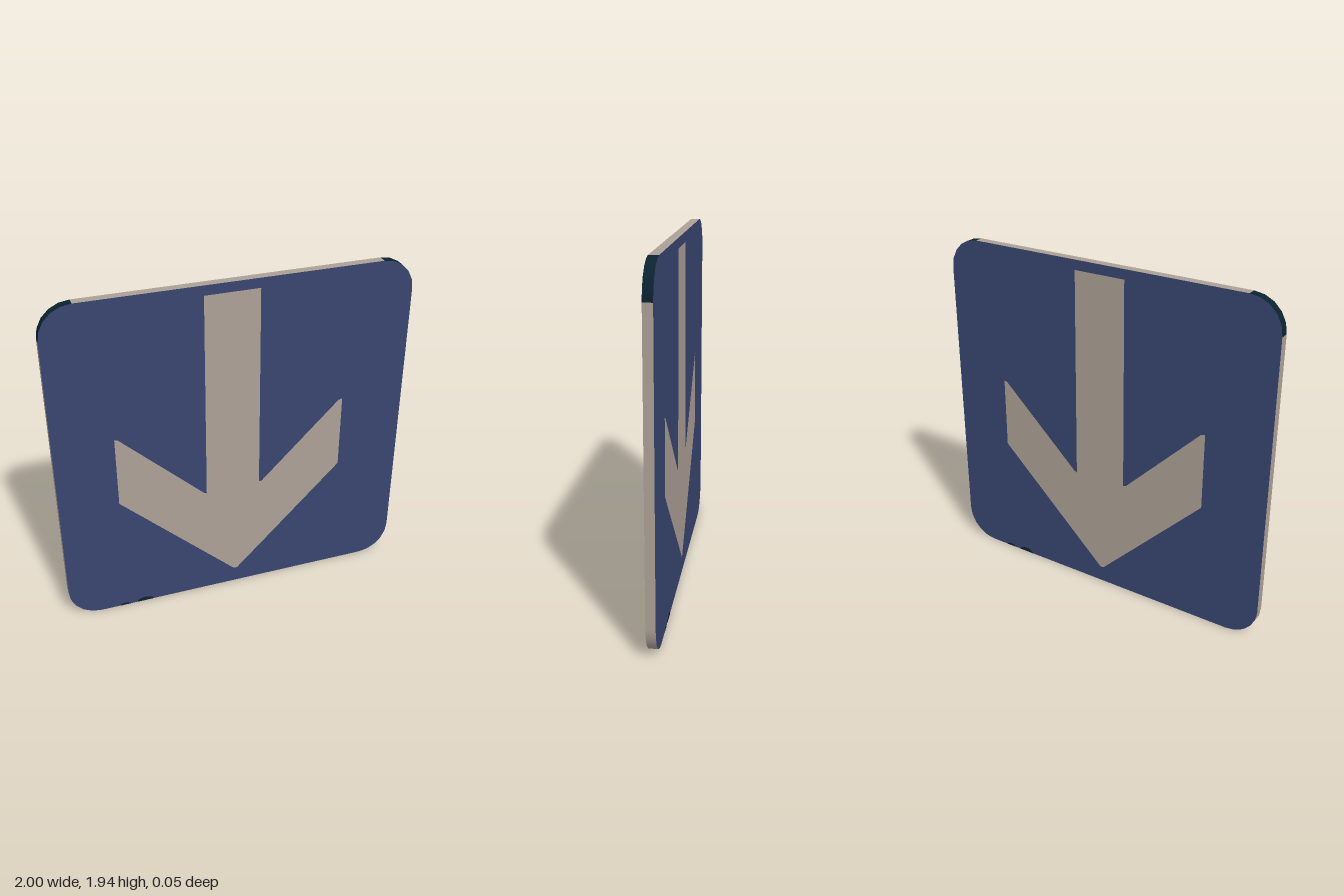
import * as THREE from 'three';

const W = 1, H = 1.94, R = 0.18, D = 0.025, SEG = 5;

const material = (name, color) => new THREE.MeshStandardMaterial({ name, color });

// Rounded square outline, counter-clockwise from the lower right corner
function outline() {
  const centres = [[W - R, R], [W - R, H - R], [R - W, H - R], [R - W, R]];
  const points = [];
  centres.forEach(([cx, cy], c) => {
    for (let i = 0; i <= SEG; i++) {
      const a = (c - 1 + i / SEG) * Math.PI / 2;
      points.push(new THREE.Vector2(cx + R * Math.cos(a), cy + R * Math.sin(a)));
    }
  });
  return points;
}

export function createModel() {
  const blue = material('sign blue', 0x38456f);
  const beige = material('warm grey', 0xaca096);
  const dark = material('dark navy', 0x0b2230);

  const sign = new THREE.Group();
  sign.name = 'arrowSign';
  const add = (parent, name, geometry, mat) => {
    const mesh = new THREE.Mesh(geometry, mat);
    mesh.name = name;
    parent.add(mesh);
    return mesh;
  };

  // Face panel with the arrow set flush into it
  const arrow = [
    [-0.165, 1.885], [-0.17, 0.685], [-0.185, 0.69], [-0.65, 1.135], [-0.67, 1.14],
    [-0.67, 0.73], [-0.01, 0.095], [0.012, 0.095], [0.632, 0.715], [0.632, 1.15],
    [0.61, 1.145], [0.16, 0.698], [0.143, 0.695], [0.137, 1.885],
  ].map(([x, y]) => new THREE.Vector2(x, y));
  const panel = new THREE.Shape(outline());
  panel.holes.push(new THREE.Path(arrow));
  const panelGeo = new THREE.ShapeGeometry(panel);
  const arrowGeo = new THREE.ShapeGeometry(new THREE.Shape(arrow));

  for (const side of ['front', 'back']) {
    const face = new THREE.Group();
    face.name = side + 'Face';
    add(face, side + 'Panel', panelGeo, blue).position.z = D;
    add(face, side + 'Arrow', arrowGeo, beige).position.z = D;
    // Small dark chips on the lower edge
    for (const [x, r, h] of [[-0.68, 0.03, 0.015], [-0.56, 0.05, 0.025]]) {
      const chip = add(face, side + 'Chip', new THREE.CircleGeometry(r, 10, 0, Math.PI), dark);
      chip.scale.y = h / r;
      chip.position.set(x, 0, D + 0.001);
    }
    if (side === 'back') face.rotation.y = Math.PI;
    sign.add(face);
  }

  // Straight rim strips
  const across = 2 * (W - R), up = H - 2 * R;
  const top = add(sign, 'topEdge', new THREE.PlaneGeometry(across, 2 * D), beige);
  top.position.y = H;
  top.rotation.x = -Math.PI / 2;
  const bottom = add(sign, 'bottomEdge', new THREE.PlaneGeometry(across, 2 * D), beige);
  bottom.rotation.x = Math.PI / 2;
  for (const s of [1, -1]) {
    const edge = add(sign, s > 0 ? 'leftEdge' : 'rightEdge', new THREE.PlaneGeometry(2 * D, up), beige);
    edge.position.set(s * W, H / 2, 0);
    edge.rotation.y = s * Math.PI / 2;
  }

  // Rounded rim corners, dark at the top
  const corners = [
    ['lowerLeftCorner', W - R, R, beige], ['upperLeftCorner', W - R, H - R, dark],
    ['upperRightCorner', R - W, H - R, dark], ['lowerRightCorner', R - W, R, beige],
  ];
  corners.forEach(([name, x, y, mat], i) => {
    const geo = new THREE.CylinderGeometry(R, R, 2 * D, SEG, 1, true, i * Math.PI / 2, Math.PI / 2);
    geo.rotateX(Math.PI / 2);
    add(sign, name, geo, mat).position.set(x, y, 0);
  });

  return sign;
}
